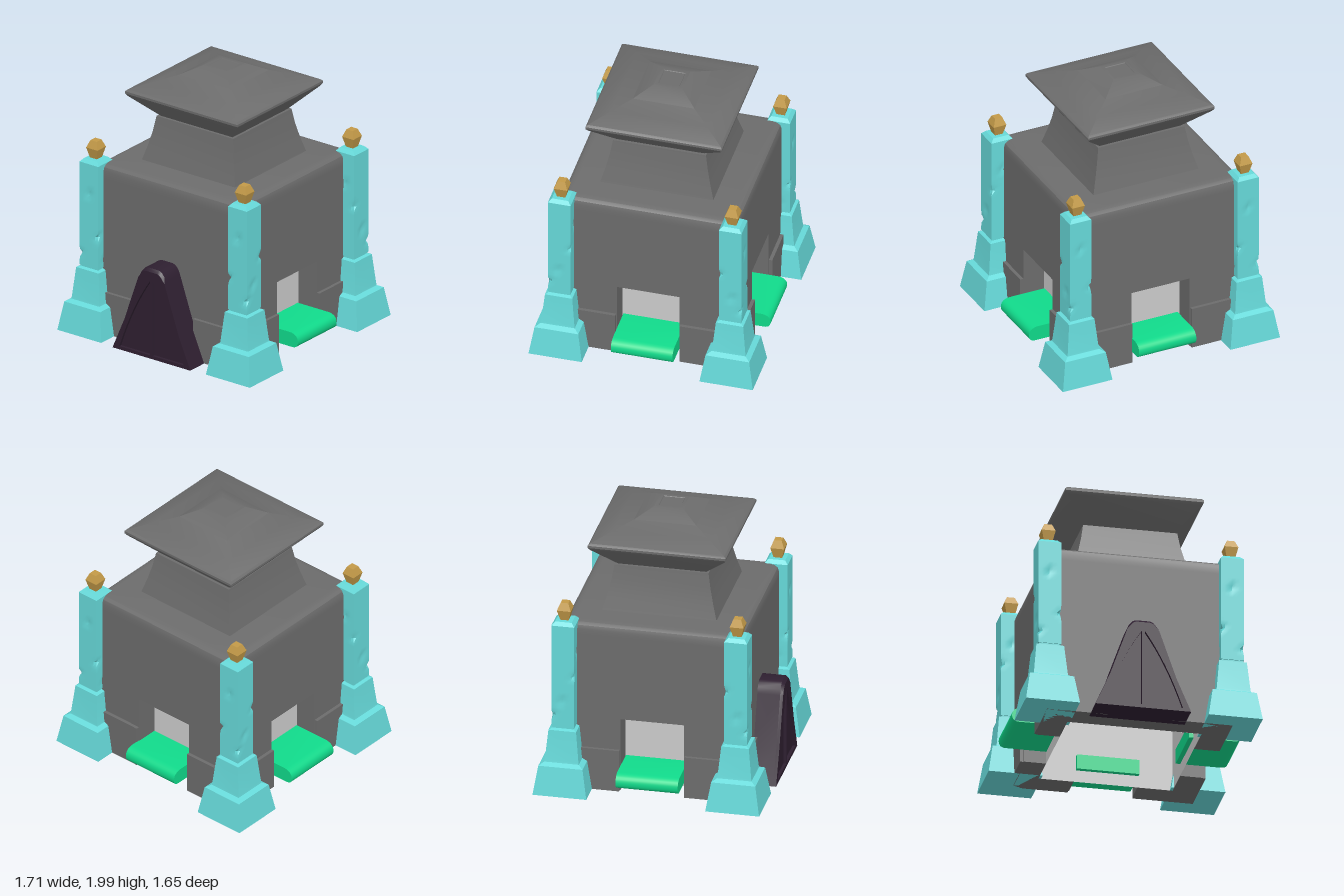
import * as THREE from 'three';
import { toCreasedNormals } from 'three/addons/utils/BufferGeometryUtils.js';

const mat = (color, side = THREE.FrontSide) => new THREE.MeshStandardMaterial({ color, side });
const STONE = mat(0x6c6c6c), INNER = mat(0xcccccc, THREE.DoubleSide), TEAL = mat(0x66d9d9);
const GOLD = mat(0xc39a48), GREEN = mat(0x10d98a), DOOR = mat(0x2e1f30);

function add(parent, name, geo, material, x = 0, y = 0, z = 0, ry = 0) {
  const m = new THREE.Mesh(toCreasedNormals(geo, 0.5), material);
  m.name = name;
  m.position.set(x, y, z);
  m.rotation.y = ry;
  parent.add(m);
  return m;
}

// Square tower from a profile of [half width, height], bottom to top
function squareLoft(profile) {
  const pts = profile.map(([r, y]) => new THREE.Vector2(r * Math.SQRT2, y));
  return new THREE.LatheGeometry(pts, 4).rotateY(Math.PI / 4);
}

const polygon = (pts) => new THREE.Shape(pts.map(([x, y]) => new THREE.Vector2(x, y)));

// Plan shape raised from y0 to y1
const raise = (shape, y0, y1) =>
  new THREE.ExtrudeGeometry(shape, { depth: y1 - y0, bevelEnabled: false })
    .rotateX(-Math.PI / 2).translate(0, y0, 0);

// L-shaped corner wall in plan
const corner = (out, inn, gap) =>
  polygon([[out, gap], [out, out], [gap, out], [gap, inn], [inn, inn], [inn, gap]]);

// Column shaft with small chips pressed into faces and edges
function chippedShaft(sx, sz) {
  const h = 0.083, geo = new THREE.BoxGeometry(2 * h, 0.79, 2 * h, 6, 26, 6).translate(0, 0.905, 0);
  const chips = [
    [0, 1.07, h], [0, 1.07, -h], [-h, 0.75, h], [h, 0.91, -h],
    [h, 0.71, 0.01], [-h, 0.58, 0], [-h, 0.74, -h], [h, 0.6, h],
  ];
  const p = geo.attributes.position;
  for (let i = 0; i < p.count; i++) {
    const x = p.getX(i), y = p.getY(i), z = p.getZ(i);
    for (const [cx, cy, cz] of chips) {
      const d = Math.hypot(x - cx * sx, y - cy, z - cz * sz);
      if (d < 0.035) {
        const k = 1 - 0.2 * (1 - d / 0.035);
        p.setX(i, x * k);
        p.setZ(i, z * k);
      }
    }
  }
  return geo;
}

function createPillar(sx, sz) {
  const g = new THREE.Group();
  g.name = 'pillar';
  add(g, 'pillarBase', squareLoft([
    [0, 0.015], [0.195, 0.015], [0.16, 0.23], [0.125, 0.25], [0.122, 0.265],
    [0.1, 0.49], [0.077, 0.5], [0.077, 0.515], [0, 0.515],
  ]), TEAL);
  add(g, 'pillarShaft', chippedShaft(sx, sz), TEAL);
  add(g, 'pillarCap', squareLoft([[0.083, 1.3], [0.06, 1.325], [0, 1.33]]), TEAL);
  add(g, 'finial', squareLoft([[0, 1.325], [0.03, 1.325], [0.05, 1.405], [0.028, 1.46], [0, 1.46]]), GOLD);
  g.position.set(sx * 0.66, 0, sz * 0.625);
  return g;
}

// Shelf pointing along +x with a rounded outer edge
function shelfGeometry(reach) {
  const s = new THREE.Shape();
  s.moveTo(0.45, 0.105);
  s.lineTo(reach - 0.05, 0.105);
  s.quadraticCurveTo(reach, 0.105, reach, 0.155);
  s.quadraticCurveTo(reach, 0.205, reach - 0.06, 0.215);
  s.lineTo(0.45, 0.215);
  s.closePath();
  return new THREE.ExtrudeGeometry(s, { depth: 0.45, bevelEnabled: false, curveSegments: 6 }).translate(0, 0, -0.225);
}

function createDoor() {
  const g = new THREE.Group();
  g.name = 'door';
  const outline = () => polygon([
    [-0.345, 0.015], [0.345, 0.015], [0.24, 0.26], [0.115, 0.62], [0.1, 0.66],
    [0.075, 0.69], [0.05, 0.7], [-0.05, 0.7], [-0.075, 0.69], [-0.1, 0.66], [-0.115, 0.62], [-0.24, 0.26],
  ]);
  const front = outline();
  // Two leaf-shaped panels
  for (const s of [-1, 1]) {
    const leaf = new THREE.Path();
    leaf.moveTo(s * 0.012, 0.04);
    leaf.lineTo(s * 0.285, 0.04);
    leaf.quadraticCurveTo(s * 0.17, 0.38, s * 0.012, 0.61);
    leaf.closePath();
    front.holes.push(leaf);
  }
  const opts = (depth) => ({ depth, bevelEnabled: false, curveSegments: 8 });
  add(g, 'doorBlock', new THREE.ExtrudeGeometry(outline(), opts(0.2)), DOOR, 0, 0, 0.61);
  const frame = new THREE.ExtrudeGeometry(front, opts(0.022));
  // Ease the top of the front face back
  const p = frame.attributes.position;
  for (let i = 0; i < p.count; i++)
    if (p.getZ(i) > 0.01 && p.getY(i) > 0.65) p.setY(i, p.getY(i) - 0.02);
  add(g, 'doorFrame', frame, DOOR, 0, 0, 0.81);
  g.position.x = -0.01;
  return g;
}

export function createModel() {
  const model = new THREE.Group();
  model.name = 'shrine';

  // Hollow body: corner walls, front wall, upper ring and rounded top
  for (let i = 0; i < 4; i++) {
    const a = i * Math.PI / 2;
    add(model, 'cornerWall', raise(corner(0.645, 0.485, 0.23), 0.015, 0.57), STONE, 0, 0, 0, a);
    add(model, 'cornerPlinth', raise(corner(0.67, 0.63, 0.235), 0.015, 0.33), STONE, 0, 0, 0, a);
  }
  add(model, 'frontWall', new THREE.BoxGeometry(0.46, 0.555, 0.16), STONE, 0, 0.2925, 0.565);
  const square = (r) => [[-r, -r], [r, -r], [r, r], [-r, r]];
  const ring = polygon(square(0.645));
  ring.holes.push(polygon(square(0.485)));
  add(model, 'upperWall', raise(ring, 0.57, 1.2), STONE);
  add(model, 'bodyTop', squareLoft([
    [0, 1.2], [0.645, 1.2], [0.645, 1.25], [0.637, 1.275], [0.615, 1.292], [0.58, 1.3], [0, 1.3],
  ]), STONE);
  add(model, 'innerChamber', squareLoft([[0.484, 0.015], [0.484, 1.19], [0, 1.19]]), INNER);

  // Neck and roof
  add(model, 'neck', squareLoft([[0.415, 1.295], [0.383, 1.41], [0.358, 1.52], [0.34, 1.63], [0, 1.63]]), STONE);
  add(model, 'roof', squareLoft([
    [0, 1.625], [0.315, 1.625], [0.485, 1.795], [0.499, 1.815], [0.499, 1.832], [0.485, 1.845],
    [0.35, 1.895], [0.225, 1.938], [0.105, 2], [0.078, 2], [0.075, 1.996], [0, 1.996],
  ]), STONE);

  // Shelves on the left, back and right
  add(model, 'sideShelf', shelfGeometry(0.828), GREEN);
  add(model, 'backShelf', shelfGeometry(0.785), GREEN, 0.012, 0, 0, Math.PI / 2);
  add(model, 'sideShelf', shelfGeometry(0.828), GREEN, 0, 0, 0, Math.PI);

  model.add(createDoor());
  for (const sx of [-1, 1]) for (const sz of [-1, 1]) model.add(createPillar(sx, sz));

  for (const part of model.children) part.position.add(new THREE.Vector3(-0.005, 0, -0.01));
  return model;
}
